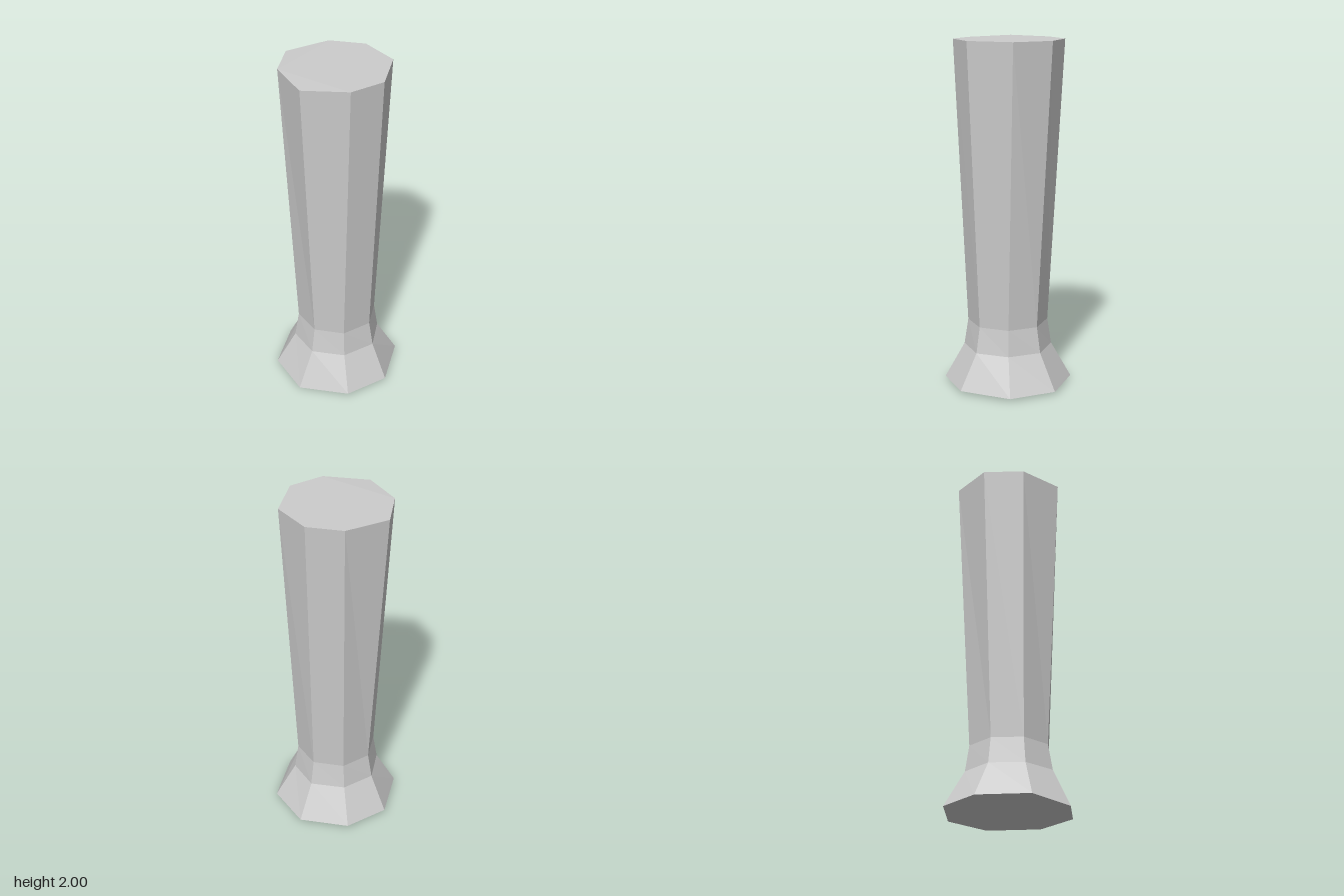
import * as THREE from 'three';

// Eight-sided cross-sections from foot to top; points are [x, z], counter-clockwise from above.
const regular = (r, d, cx) => [
  [r + cx, 0], [d, -d], [cx, -r], [-d - 0.003, -d], [-r + cx, 0], [-d - 0.003, d], [cx, r], [d, d],
];
const rings = [
  { y: 0.015, points: [[0.372, -0.007], [0.266, -0.265], [-0.003, -0.372], [-0.25, -0.278],
    [-0.373, -0.007], [-0.275, 0.245], [-0.003, 0.369], [0.245, 0.274]] },
  { y: 0.22, points: regular(0.255, 0.183, -0.004) },
  { y: 0.37, points: regular(0.232, 0.164, -0.003) },
  { y: 2, points: [[0.308, -0.023], [0.205, -0.24], [0.013, -0.319], [-0.237, -0.24],
    [-0.315, -0.023], [-0.237, 0.226], [0.013, 0.305], [0.205, 0.226]] },
];

// Slightly uneven rims: one corner of the foot and two of the top sit lower.
function corner(level, i) {
  const { y, points } = rings[level];
  const drop = level === 0 && i === 5 ? 0.015
    : level === 3 && i === 5 ? 0.007
    : level === 3 && i === 3 ? 0.005 : 0;
  return [points[i][0], y - drop, points[i][1]];
}

function meshFrom(name, triangles) {
  const geometry = new THREE.BufferGeometry();
  geometry.setAttribute('position', new THREE.Float32BufferAttribute(triangles.flat(2), 3));
  geometry.computeVertexNormals();
  const mesh = new THREE.Mesh(geometry,
    new THREE.MeshStandardMaterial({ color: 0xcccccc, flatShading: true }));
  mesh.name = name;
  return mesh;
}

// Side wall between two neighbouring cross-sections
function band(level) {
  const triangles = [];
  for (let i = 0; i < 8; i++) {
    const j = (i + 1) % 8;
    const a = corner(level, i), b = corner(level, j);
    const c = corner(level + 1, j), d = corner(level + 1, i);
    triangles.push([a, b, d], [d, b, c]);
  }
  return triangles;
}

// End face as a fan from the left corner, keeping the lowered corners as separate facets
function cap(level, up) {
  const order = [[4, 5, 6], [4, 6, 7], [4, 7, 0], [4, 0, 1], [4, 1, 2], [4, 2, 3]];
  return order.map(([a, b, c]) =>
    (up ? [a, b, c] : [a, c, b]).map((i) => corner(level, i)));
}

export function createModel() {
  const group = new THREE.Group();
  group.name = 'column';
  group.add(
    meshFrom('flaredFoot', [...cap(0, false), ...band(0)]),
    meshFrom('neck', band(1)),
    meshFrom('taperedShaft', [...band(2), ...cap(3, true)]),
  );
  return group;
}
